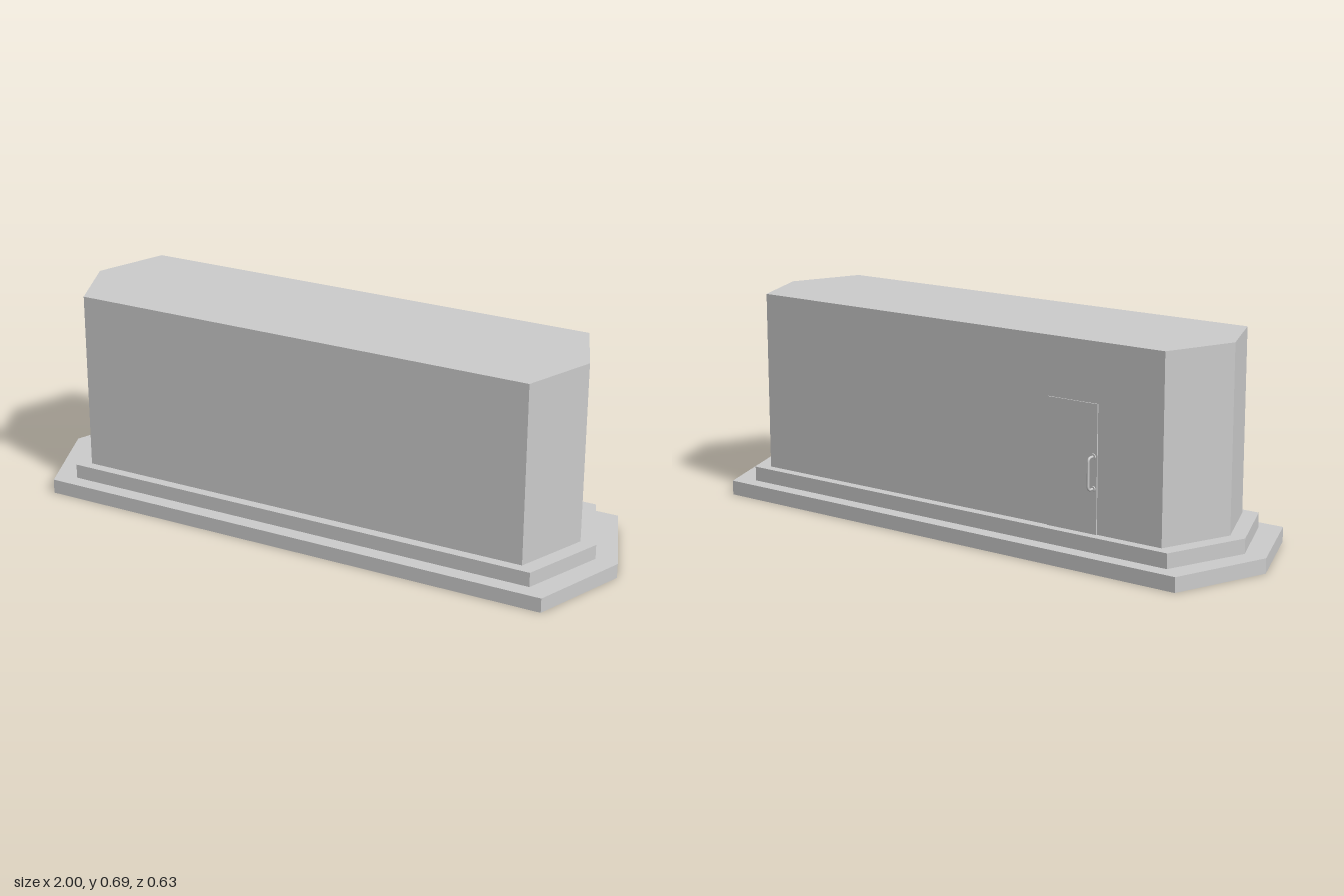
import * as THREE from 'three';

const material = new THREE.MeshStandardMaterial({ color: 0xcccccc });
const shellMaterial = new THREE.MeshStandardMaterial({ color: 0xcccccc, side: THREE.DoubleSide });

// Elongated hexagon: pointed ends at +-tip, long sides from -side to +side at +-half
const hexagon = ({ tip, side, half }) => [
  [-side, half], [side, half], [tip, 0], [side, -half], [-side, -half], [-tip, 0],
];

const outlines = {
  lower: { tip: 1, side: 0.88, half: 0.317 },
  upper: { tip: 0.927, side: 0.82, half: 0.267 },
  body: { tip: 0.875, side: 0.78, half: 0.234 },
};
const STEP = 0.048, FLOOR = 0.096, TOP = 0.688;

// Flat-sided surface through a stack of hexagons
function loft(rings) {
  const positions = [];
  const loops = rings.map(([outline, y]) => hexagon(outline).map(([x, z]) => [x, y, z]));
  for (let r = 0; r < loops.length - 1; r++) {
    for (let i = 0; i < 6; i++) {
      const j = (i + 1) % 6;
      const a = loops[r][i], b = loops[r][j], c = loops[r + 1][j], d = loops[r + 1][i];
      positions.push(...a, ...b, ...c, ...a, ...c, ...d);
    }
  }
  const geometry = new THREE.BufferGeometry();
  geometry.setAttribute('position', new THREE.Float32BufferAttribute(positions, 3));
  geometry.computeVertexNormals();
  return geometry;
}

export function createModel() {
  const model = new THREE.Group();
  model.name = 'hexagonalBlock';

  function add(parent, name, geometry, mat = material) {
    const mesh = new THREE.Mesh(geometry, mat);
    mesh.name = name;
    parent.add(mesh);
    return mesh;
  }

  // Hollow two-step plinth, open underneath
  add(model, 'steppedBase', loft([
    [outlines.lower, 0], [outlines.lower, STEP],
    [outlines.upper, STEP], [outlines.upper, FLOOR],
    [outlines.body, FLOOR],
  ]), shellMaterial);

  // Closed main block
  const shape = new THREE.Shape(hexagon(outlines.body).map(([x, z]) => new THREE.Vector2(x, z)));
  const block = new THREE.ExtrudeGeometry(shape, { depth: TOP - FLOOR, bevelEnabled: false });
  block.rotateX(-Math.PI / 2);
  add(model, 'body', block).position.y = FLOOR;

  // Thin door panel on the back wall
  const doorHeight = 0.5 - FLOOR;
  add(model, 'door', new THREE.BoxGeometry(0.182, doorHeight, 0.006))
    .position.set(-0.459, FLOOR + doorHeight / 2, -0.235);

  // Door handle: bent bar with a round mounting plate at each end
  const handle = new THREE.Group();
  handle.name = 'doorHandle';
  handle.position.set(-0.537, 0.288, -0.238);
  model.add(handle);

  const reach = 0.027, rise = 0.05, bend = 0.013;
  const v = (y, z) => new THREE.Vector3(0, y, z);
  const path = new THREE.CurvePath();
  path.add(new THREE.LineCurve3(v(rise, 0), v(rise, bend - reach)));
  path.add(new THREE.QuadraticBezierCurve3(v(rise, bend - reach), v(rise, -reach), v(rise - bend, -reach)));
  path.add(new THREE.LineCurve3(v(rise - bend, -reach), v(bend - rise, -reach)));
  path.add(new THREE.QuadraticBezierCurve3(v(bend - rise, -reach), v(-rise, -reach), v(-rise, bend - reach)));
  path.add(new THREE.LineCurve3(v(-rise, bend - reach), v(-rise, 0)));
  add(handle, 'handleBar', new THREE.TubeGeometry(path, 60, 0.004, 12));

  for (const sign of [1, -1]) {
    const plate = add(handle, 'handlePlate', new THREE.CylinderGeometry(0.009, 0.009, 0.004, 20));
    plate.rotation.x = Math.PI / 2;
    plate.position.set(0, sign * rise, -0.002);
  }

  return model;
}
